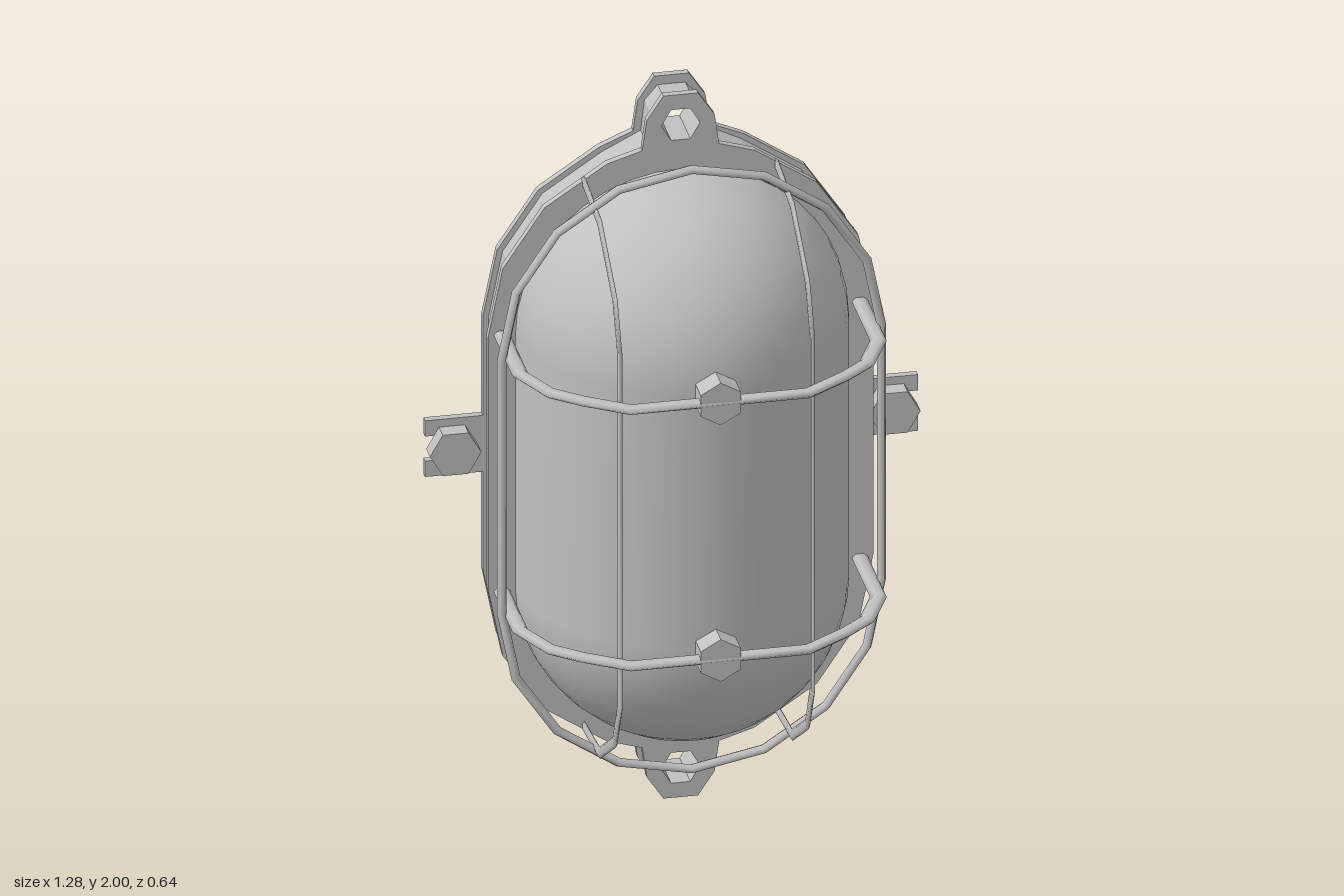
import * as THREE from 'three';

const CY = 1;          // height of the lamp's centre
const STRAIGHT = 0.36; // half length of the straight sides

// Stadium quarter outline, relative to the centre
function quarterArc(hw, n) {
  const pts = [];
  for (let i = 0; i <= n; i++) {
    const a = (i / n) * Math.PI / 2;
    pts.push([hw * Math.cos(a), STRAIGHT + hw * Math.sin(a)]);
  }
  return pts;
}

// Mirror a quarter outline to all four quadrants, counter-clockwise
function mirrored(q) {
  const rev = [...q].reverse();
  return [
    ...q, ...rev.map(([x, y]) => [-x, y]),
    ...q.map(([x, y]) => [-x, -y]), ...rev.map(([x, y]) => [x, -y]),
  ].filter(([x], i, all) => i === 0 || x !== all[i - 1][0] || all[i][1] !== all[i - 1][1]);
}

// Flat stadium slab with a drilled lug at the top and bottom
function luggedSlab(hw, lugW, lugTop, z0, z1) {
  const quarter = quarterArc(hw, 4).slice(0, 4);
  quarter.push([lugW, 0.85], [lugW * 0.88, 0.935], [lugW * 0.45, lugTop]);
  const shape = new THREE.Shape(mirrored(quarter).map(([x, y]) => new THREE.Vector2(x, y)));
  for (const s of [1, -1]) {
    const hole = [];
    for (let i = 0; i < 6; i++) {
      const a = i * Math.PI / 3;
      hole.push(new THREE.Vector2(0.05 * Math.cos(a), s * 0.915 + 0.05 * Math.sin(a)));
    }
    shape.holes.push(new THREE.Path(hole));
  }
  const geo = new THREE.ExtrudeGeometry(shape, { depth: z1 - z0, bevelEnabled: false });
  return geo.translate(0, CY, z0);
}

// Mitred wire along a planar path: ra in the plane, rb along the plane's normal
function wire(points, normal, ra, rb, closed = false, sides = 6) {
  const n = points.length, pos = [], idx = [];
  points.forEach((p, i) => {
    const prev = closed ? points[(i + n - 1) % n] : points[Math.max(i - 1, 0)];
    const next = closed ? points[(i + 1) % n] : points[Math.min(i + 1, n - 1)];
    const a = p.clone().sub(prev).normalize(), b = next.clone().sub(p).normalize();
    const t = a.clone().add(b).normalize();
    const side = normal.clone().cross(t);
    const miter = 1 / Math.max(0.5, t.dot(b.lengthSq() ? b : a));
    for (let j = 0; j < sides; j++) {
      const ang = (j / sides) * Math.PI * 2;
      const v = p.clone()
        .addScaledVector(side, Math.cos(ang) * ra * miter)
        .addScaledVector(normal, Math.sin(ang) * rb);
      pos.push(v.x, v.y, v.z);
    }
  });
  for (let i = 0; i < (closed ? n : n - 1); i++) {
    for (let j = 0; j < sides; j++) {
      const k = (j + 1) % sides, m = (i + 1) % n;
      const a = i * sides + j, b = i * sides + k, c = m * sides + j, d = m * sides + k;
      idx.push(a, b, c, b, d, c);
    }
  }
  const geo = new THREE.BufferGeometry();
  geo.setAttribute('position', new THREE.Float32BufferAttribute(pos, 3));
  geo.setIndex(idx);
  geo.computeVertexNormals();
  return geo;
}

// Hexagonal bolt head or stud facing +z
function hexStud(r, z0, z1, x, y, turn = 0) {
  const geo = new THREE.CylinderGeometry(r, r, z1 - z0, 6).toNonIndexed();
  geo.rotateX(Math.PI / 2).rotateZ(turn).translate(x, y, (z0 + z1) / 2);
  geo.computeVertexNormals();
  return geo;
}

export function createModel() {
  const group = new THREE.Group();
  const grey = new THREE.MeshStandardMaterial({ color: 0xc0c0c0 });
  grey.name = 'grey';
  const add = (name, geo) => {
    const mesh = new THREE.Mesh(geo, grey);
    mesh.name = name;
    group.add(mesh);
  };

  // Housing: back plate, body and front flange
  add('backPlate', luggedSlab(0.49, 0.1, 1.0, -0.325, -0.305));
  add('housingBody', luggedSlab(0.475, 0.08, 0.975, -0.305, -0.21));
  add('frontFlange', luggedSlab(0.5, 0.1, 1.0, -0.21, -0.19));

  // Half-capsule glass dome
  const arc = quarterArc(0.43, 10);
  arc[10][0] = 0;
  const profile = [
    ...[...arc].reverse().map(([x, y]) => new THREE.Vector2(x, CY - y)),
    ...arc.map(([x, y]) => new THREE.Vector2(x, CY + y)),
  ];
  const dome = new THREE.LatheGeometry(profile, 24, -Math.PI / 2, Math.PI);
  add('glassDome', dome.scale(1, 1, 0.45 / 0.43).translate(0, 0, -0.2));

  // Cage hoop around the dome
  const hoop = mirrored(quarterArc(0.493, 4))
    .map(([x, y]) => new THREE.Vector3(Math.abs(x) < 1e-6 ? 0 : x, CY + y, -0.055))
    .filter((p, i, all) => i === 0 || p.distanceTo(all[i - 1]) > 1e-4);
  add('cageHoop', wire(hoop, new THREE.Vector3(0, 0, 1), 0.012, 0.015, true));

  // Horizontal cage bars and their front studs
  const half = [[0.465, -0.2], [0.465, 0.04], [0.41, 0.16], [0.34, 0.22], [0.23, 0.293]];
  const across = [...half, ...[...half].reverse().map(([x, z]) => [-x, z])];
  for (const y of [CY + 0.365, CY - 0.365]) {
    const path = across.map(([x, z]) => new THREE.Vector3(x, y, z));
    add('horizontalCageBar', wire(path, new THREE.Vector3(0, 1, 0), 0.021, 0.011));
    add('cageStud', hexStud(0.06, 0.235, 0.31, 0, y));
  }

  // Vertical cage bars
  const rise = [[0.775, -0.2], [0.755, 0.0], [0.63, 0.19], [0.5, 0.253]];
  const along = [...rise, ...[...rise].reverse().map(([y, z]) => [-y, z])];
  for (const s of [1, -1]) {
    const path = along.map(([y, z]) => new THREE.Vector3(s * 0.25, CY + y, z));
    add('verticalCageBar', wire(path, new THREE.Vector3(1, 0, 0), 0.015, 0.006));
  }

  // Slotted side tabs with bolts
  const fork = [[0.47, -0.08], [0.64, -0.08], [0.64, -0.035], [0.575, -0.035],
    [0.575, 0.035], [0.64, 0.035], [0.64, 0.08], [0.47, 0.08]];
  for (const s of [1, -1]) {
    const shape = new THREE.Shape(fork.map(([x, y]) => new THREE.Vector2(s * x, CY + y)));
    const tab = new THREE.ExtrudeGeometry(shape, { depth: 0.02, bevelEnabled: false });
    add('sideTab', tab.translate(0, 0, -0.325));
    add('tabBolt', hexStud(0.067, -0.305, -0.258, s * 0.57, CY, Math.PI / 6));
  }
  return group;
}
